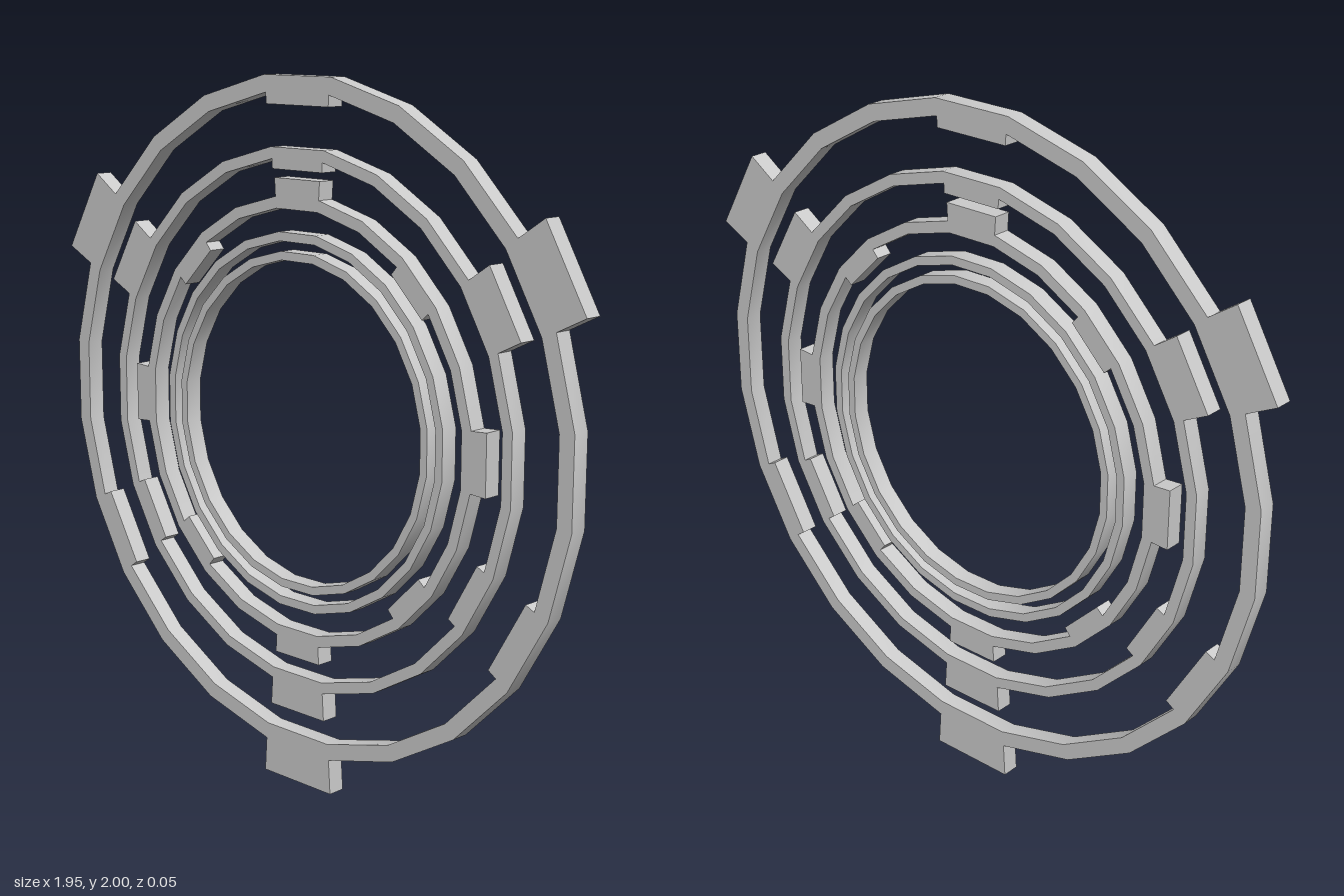
import * as THREE from 'three';
import { toCreasedNormals } from 'three/addons/utils/BufferGeometryUtils.js';

const SIDES = 24, STEP = (Math.PI * 2) / SIDES, DEPTH = 0.052, CENTER_Y = 1.05;

// Counter-clockwise outline of a 24-sided ring; the listed sides (0 = top) are pushed to
// another distance as slightly tapered tabs.
function outline(apothem, tabSides = [], tabApothem = apothem) {
  const points = [];
  for (let i = 0; i < SIDES; i++) {
    const r = tabSides.includes(i) ? tabApothem : apothem;
    const half = Math.tan(STEP / 2) * (apothem + r) / 2;
    const cos = Math.cos(i * STEP), sin = Math.sin(i * STEP);
    for (const t of [-half, half]) {
      const p = new THREE.Vector2(-sin * r - cos * t, cos * r - sin * t);
      const last = points[points.length - 1];
      if (!last || last.distanceTo(p) > 1e-5) points.push(p);
    }
  }
  if (points[0].distanceTo(points[points.length - 1]) < 1e-5) points.pop();
  return points;
}

export function createModel() {
  const model = new THREE.Group();
  model.name = 'concentricRings';
  const material = new THREE.MeshStandardMaterial({ color: 0xcccccc });

  // Each ring: outer and inner distance, outward tabs and inward tabs as [sides, distance]
  const rings = [
    { name: 'outerRing', outer: 0.95, inner: 0.903, out: [[4, 12, 20], 1.05], in: [[0, 8, 16], 0.872] },
    { name: 'secondRing', outer: 0.758, inner: 0.726, out: [[4, 12, 20], 0.838], in: [[0, 8, 16], 0.699] },
    { name: 'thirdRing', outer: 0.625, inner: 0.593, out: [[0, 6, 12, 18], 0.676], in: [[3, 9, 15, 21], 0.565] },
    { name: 'fourthRing', outer: 0.53, inner: 0.505, out: [], in: [] },
    { name: 'innerRing', outer: 0.477, inner: 0.453, out: [], in: [] },
  ];

  for (const ring of rings) {
    const shape = new THREE.Shape(outline(ring.outer, ...ring.out));
    shape.holes.push(new THREE.Path(outline(ring.inner, ...ring.in)));
    const geometry = new THREE.ExtrudeGeometry(shape, { depth: DEPTH, bevelEnabled: false });
    geometry.translate(0, CENTER_Y, -DEPTH / 2);
    // Smooth around the ring, sharp at rims and tabs
    const mesh = new THREE.Mesh(toCreasedNormals(geometry, 0.4), material);
    mesh.name = ring.name;
    model.add(mesh);
  }
  return model;
}
